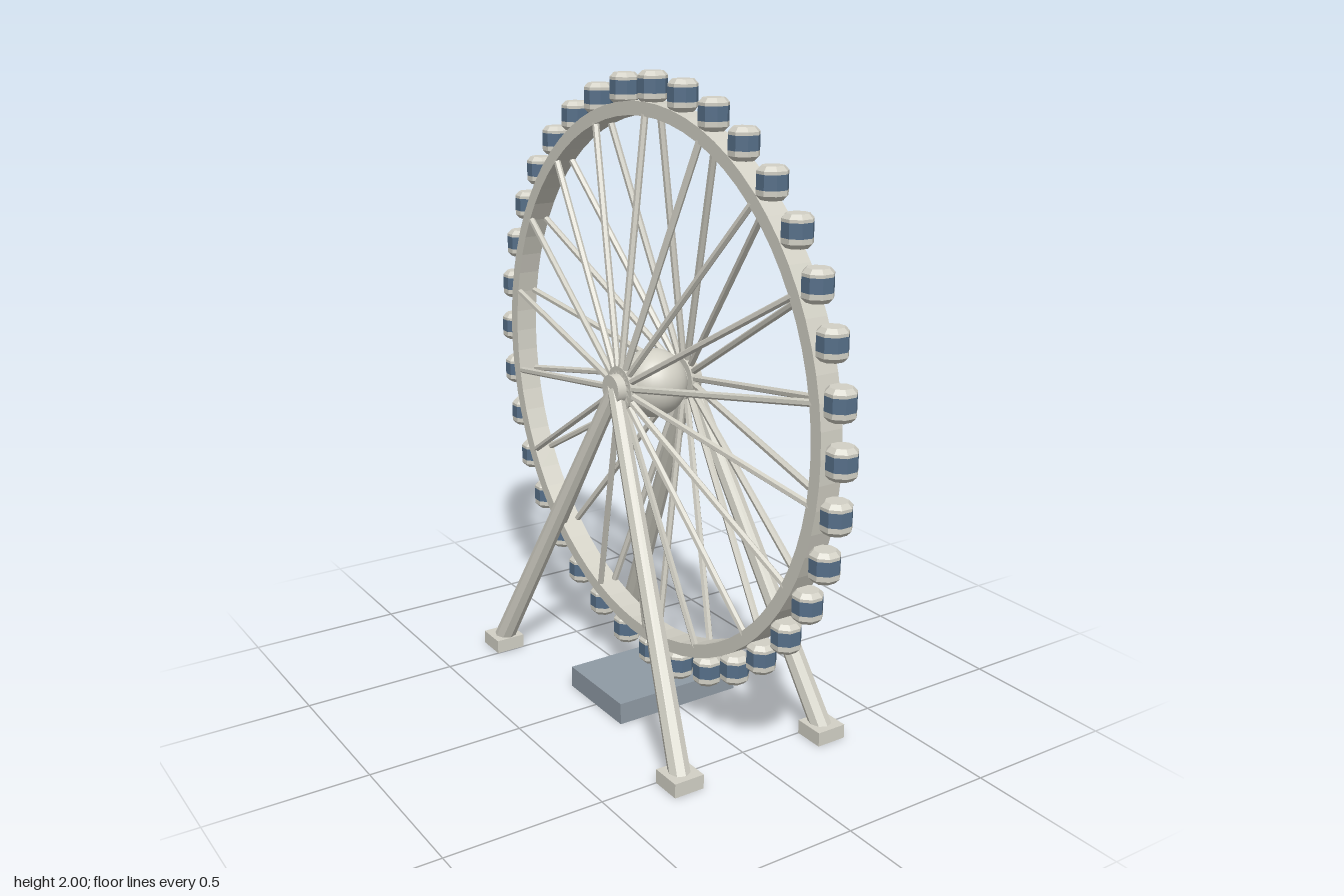
import * as THREE from 'three';

const AXLE_Y = 1.05;

// Facet a geometry so every polygon is shaded flat
function flat(geometry) {
  const g = geometry.index ? geometry.toNonIndexed() : geometry;
  g.computeVertexNormals();
  return g;
}

export function createModel() {
  const model = new THREE.Group();
  model.name = 'ferrisWheel';

  const steel = new THREE.MeshStandardMaterial({ color: 0xd2d0c5 });
  steel.name = 'pale steel';
  const glass = new THREE.MeshStandardMaterial({ color: 0x566f89 });
  glass.name = 'blue glass';
  const deck = new THREE.MeshStandardMaterial({ color: 0x8f9aa4 });
  deck.name = 'slate deck';

  function add(parent, name, geometry, material, x = 0, y = 0, z = 0) {
    const mesh = new THREE.Mesh(geometry, material);
    mesh.name = name;
    mesh.position.set(x, y, z);
    parent.add(mesh);
    return mesh;
  }

  // Tapered bar running from point a to point b
  function bar(parent, name, a, b, ra, rb, sides) {
    const dir = b.clone().sub(a);
    const geometry = flat(new THREE.CylinderGeometry(rb, ra, dir.length(), sides));
    const mesh = add(parent, name, geometry, steel);
    mesh.position.copy(a).add(b).multiplyScalar(0.5);
    mesh.quaternion.setFromUnitVectors(new THREE.Vector3(0, 1, 0), dir.normalize());
    return mesh;
  }

  const wheel = new THREE.Group();
  wheel.name = 'wheel';
  wheel.position.y = AXLE_Y;
  model.add(wheel);

  // Rim: rectangular section swept around the x axis
  const section = [[0.82, -0.037], [0.862, -0.037], [0.862, 0.037], [0.82, 0.037], [0.82, -0.037]];
  const rimGeometry = new THREE.LatheGeometry(section.map(([r, h]) => new THREE.Vector2(r, h)), 72);
  add(wheel, 'rim', flat(rimGeometry), steel).rotation.z = Math.PI / 2;

  // Hub: ball, flanges and axle
  add(wheel, 'hubBall', new THREE.SphereGeometry(0.108, 32, 20), steel);
  const axle = add(wheel, 'axle', new THREE.CylinderGeometry(0.047, 0.047, 0.31, 20), steel);
  axle.rotation.z = Math.PI / 2;
  for (const side of [-1, 1]) {
    const flange = add(wheel, 'hubFlange', new THREE.CylinderGeometry(0.07, 0.07, 0.025, 24), steel, side * 0.112);
    flange.rotation.z = Math.PI / 2;
  }

  // Spokes: eighteen on each side, leaning in to the rim
  for (let i = 0; i < 18; i++) {
    const angle = (i * Math.PI) / 9;
    const c = Math.cos(angle), s = Math.sin(angle);
    for (const side of [-1, 1]) {
      const inner = new THREE.Vector3(side * 0.118, 0.03 * c, 0.03 * s);
      const outer = new THREE.Vector3(side * 0.027, 0.83 * c, 0.83 * s);
      bar(wheel, 'spoke', inner, outer, 0.011, 0.011, 6);
    }
  }

  // Cabin shells: upright octagonal pods with a glass band
  const R = 0.0455;
  function shell(points) {
    const g = new THREE.LatheGeometry(points.map(([r, y]) => new THREE.Vector2(r, y)), 8, Math.PI / 8);
    return flat(g);
  }
  const lower = shell([[0, -0.046], [0.033, -0.046], [R, -0.033], [R, -0.018]]);
  const band = shell([[R, -0.018], [R, 0.024]]);
  const upper = shell([[R, 0.024], [R, 0.033], [0.033, 0.046], [0, 0.046]]);
  for (let i = 0; i < 36; i++) {
    const angle = (i * Math.PI) / 18;
    const cabin = new THREE.Group();
    cabin.name = 'cabin';
    cabin.position.set(0, 0.904 * Math.cos(angle), 0.904 * Math.sin(angle));
    add(cabin, 'cabinFloor', lower, steel);
    add(cabin, 'cabinWindows', band, glass);
    add(cabin, 'cabinRoof', upper, steel);
    wheel.add(cabin);
  }

  // Support legs with square footings
  for (const sx of [-1, 1]) {
    for (const sz of [-1, 1]) {
      const top = new THREE.Vector3(sx * 0.138, 1.05, 0);
      const foot = new THREE.Vector3(sx * 0.265, 0.03, sz * 0.55);
      bar(model, 'leg', foot, top, 0.034, 0.025, 8);
      add(model, 'footing', new THREE.BoxGeometry(0.1, 0.045, 0.1), steel, sx * 0.265, 0.0225, sz * 0.55);
    }
  }

  // Boarding platform
  add(model, 'platform', new THREE.BoxGeometry(0.44, 0.07, 0.305), deck, 0, 0.035, 0);

  return model;
}
